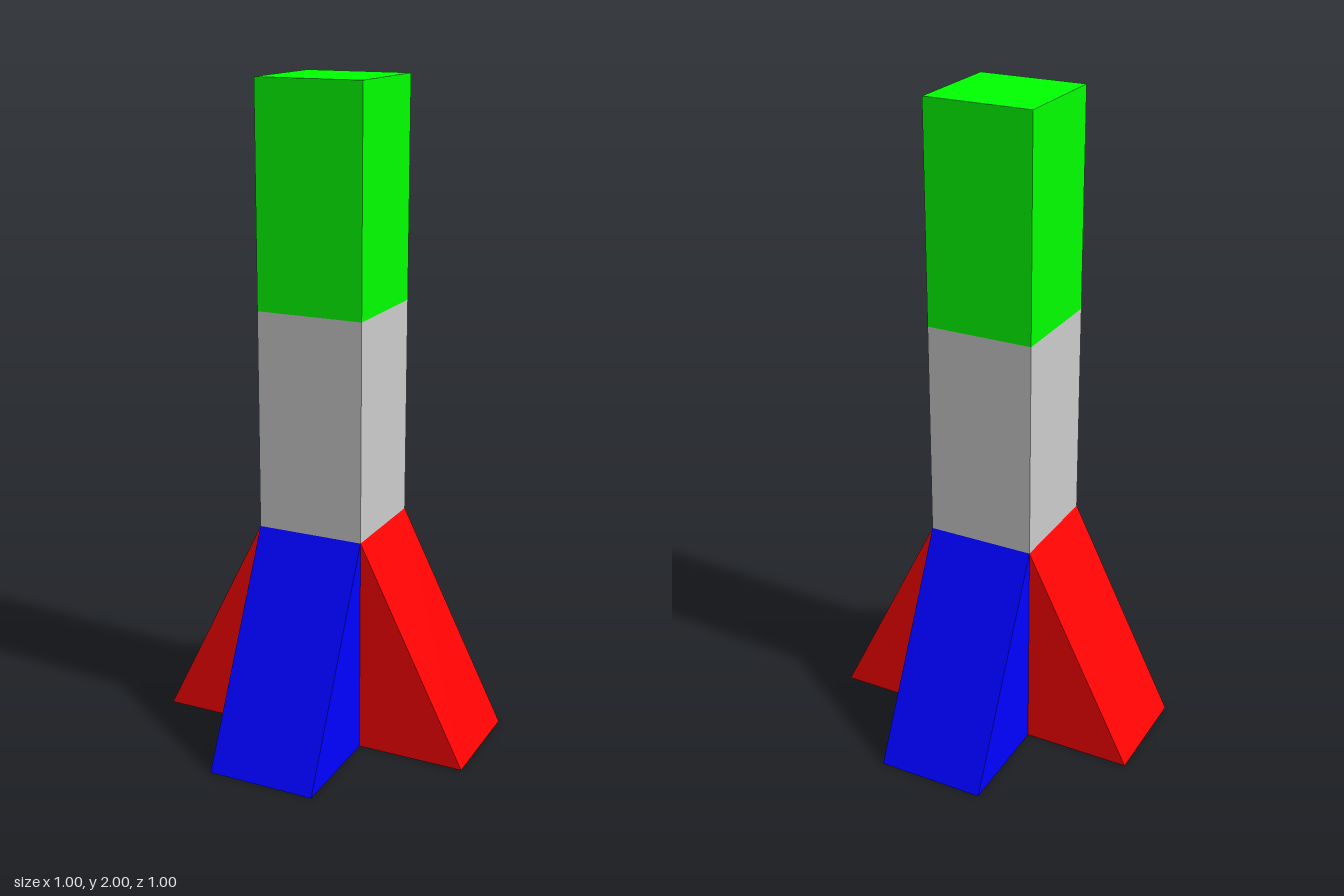
import * as THREE from 'three';

const W = 1 / 3;      // side of the square body
const UNIT = 2 / 3;   // height of each section

const material = (color) => new THREE.MeshStandardMaterial({ color, flatShading: true });

export function createModel() {
  const model = new THREE.Group();
  model.name = 'rocket';

  const add = (name, geometry, mat) => {
    const mesh = new THREE.Mesh(geometry, mat);
    mesh.name = name;
    model.add(mesh);
    return mesh;
  };

  // Square body: grey core down to the ground, green nose on top
  const grey = material(0xcccccc);
  add('lowerBody', new THREE.BoxGeometry(W, UNIT, W), grey).position.y = UNIT / 2;
  add('upperBody', new THREE.BoxGeometry(W, UNIT, W), grey).position.y = UNIT * 1.5;
  add('nose', new THREE.BoxGeometry(W, UNIT, W), material(0x00ff00)).position.y = UNIT * 2.5;

  // Wedge fin: right triangle extruded to the width of the body
  const profile = new THREE.Shape([
    new THREE.Vector2(W / 2, 0),
    new THREE.Vector2(W * 1.5, 0),
    new THREE.Vector2(W / 2, UNIT),
  ]);
  const finGeometry = new THREE.ExtrudeGeometry(profile, { depth: W, bevelEnabled: false });
  finGeometry.translate(0, 0, -W / 2);

  // Four fins: red on the sides, blue at front and back
  const red = material(0xff0000);
  const blue = material(0x0000ff);
  ['leftFin', 'backFin', 'rightFin', 'frontFin'].forEach((name, i) => {
    add(name, finGeometry, i % 2 ? blue : red).rotation.y = (i * Math.PI) / 2;
  });

  return model;
}
